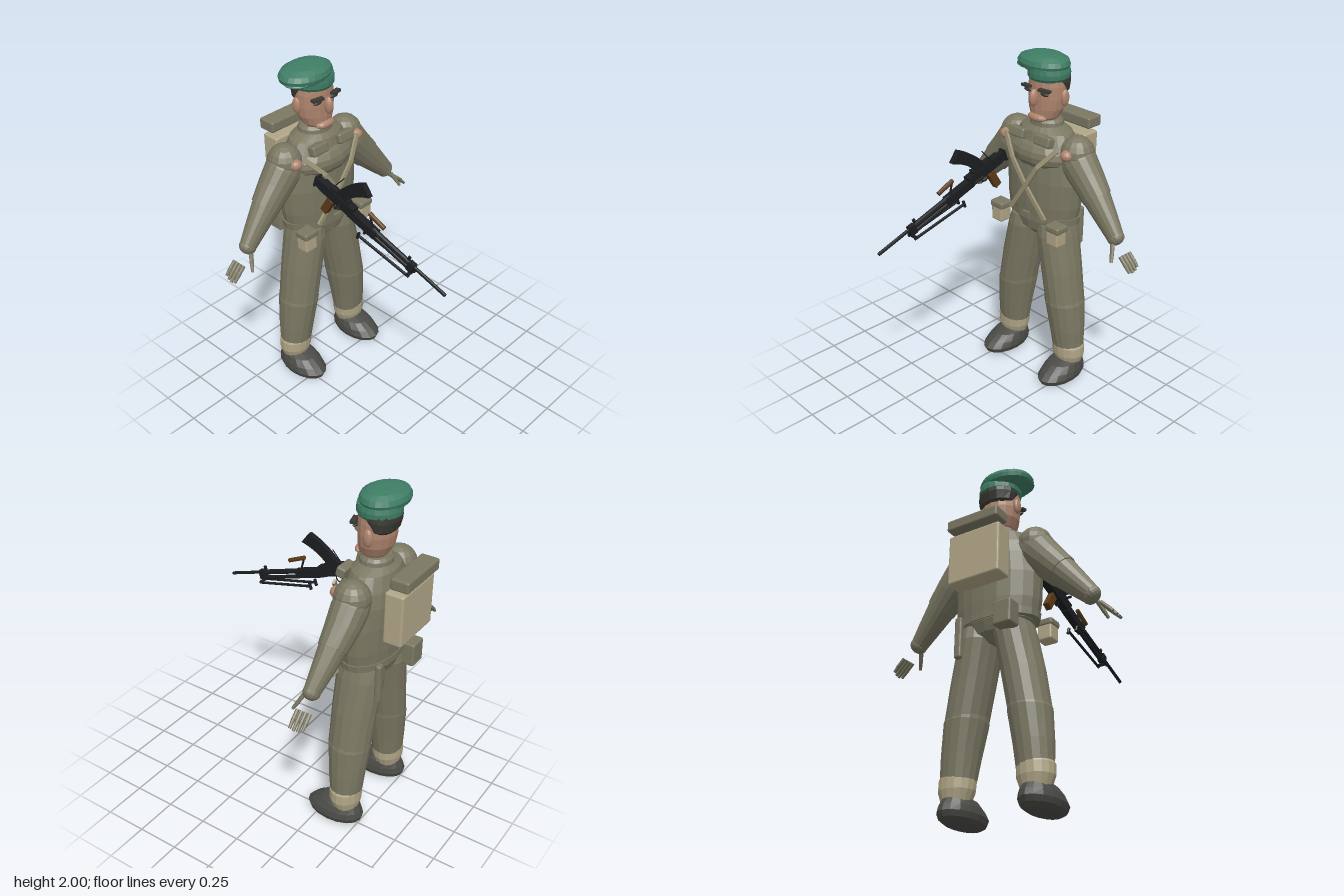
import * as THREE from 'three';
import { RoundedBoxGeometry } from 'three/addons/geometries/RoundedBoxGeometry.js';

const mat = (name, color) => {
  const m = new THREE.MeshStandardMaterial({ color, flatShading: true });
  m.name = name;
  return m;
};

export function createModel() {
  const cloth = mat('olive cloth', 0x7a7762);
  const canvas = mat('beige canvas', 0xb0a586);
  const strapMat = mat('webbing', 0x9f9678);
  const skin = mat('skin', 0xae846d);
  const green = mat('beret green', 0x3f7d65);
  const hairMat = mat('dark hair', 0x3a3933);
  const leather = mat('boot leather', 0x4a4a46);
  const steel = mat('gun steel', 0x1b1d20);
  const wood = mat('wood', 0x5c3a18);

  const root = new THREE.Group();
  const add = (name, geo, m, pos = [0, 0, 0], parent = root) => {
    const mesh = new THREE.Mesh(geo, m);
    mesh.name = name;
    mesh.position.set(...pos);
    parent.add(mesh);
    return mesh;
  };
  // Elliptical cross-sections from top to bottom: [y, rx, rz, x, z]
  const loft = (name, rings, m, parent = root, seg = 16) => {
    const g = new THREE.CylinderGeometry(1, 1, 1, seg, rings.length - 1);
    const p = g.attributes.position;
    for (let i = 0; i < p.count; i++) {
      const [y, rx, rz, x = 0, z = 0] = rings[Math.round((0.5 - p.getY(i)) * (rings.length - 1))];
      p.setXYZ(i, p.getX(i) * rx + x, y, p.getZ(i) * rz + z);
    }
    g.computeVertexNormals();
    return add(name, g, m, [0, 0, 0], parent);
  };
  const ball = (name, pos, r, m, parent = root) =>
    add(name, new THREE.SphereGeometry(1, 14, 10).scale(...r), m, pos, parent);
  const box = (name, pos, size, m, parent = root) =>
    add(name, new THREE.BoxGeometry(...size), m, pos, parent);
  const rbox = (name, pos, size, m, r = 0.012) =>
    add(name, new RoundedBoxGeometry(...size, 2, r), m, pos);
  // Round rod or flat strip between two points
  const rod = (name, a, b, r0, r1, m, parent = root) => {
    const A = new THREE.Vector3(...a), B = new THREE.Vector3(...b);
    const g = new THREE.CylinderGeometry(r1, r0, A.distanceTo(B), 8);
    const mesh = add(name, g, m, A.clone().lerp(B, 0.5).toArray(), parent);
    mesh.quaternion.setFromUnitVectors(new THREE.Vector3(0, 1, 0), B.sub(A).normalize());
    return mesh;
  };
  const strip = (name, a, b, w, t, m) => {
    const A = new THREE.Vector3(...a), B = new THREE.Vector3(...b);
    const mesh = box(name, A.clone().lerp(B, 0.5).toArray(), [w, t, A.distanceTo(B) + 0.01], m);
    mesh.up.set(0, 0, 1);
    mesh.lookAt(B);
  };

  // Jacket, collar and trouser seat
  loft('jacket', [
    [1.61, 0.1, 0.085, 0, -0.41], [1.58, 0.17, 0.115, 0, -0.41], [1.5, 0.22, 0.14, 0, -0.41],
    [1.42, 0.25, 0.15, 0, -0.41], [1.3, 0.265, 0.153, 0, -0.408], [1.15, 0.258, 0.15, 0, -0.407],
    [1.08, 0.245, 0.145, 0, -0.407]], cloth, root, 20);
  ball('chest', [0, 1.45, -0.36], [0.22, 0.105, 0.125], cloth);
  loft('collar', [[1.645, 0.085, 0.075, 0, -0.41], [1.63, 0.1, 0.088, 0, -0.41],
    [1.57, 0.11, 0.092, 0, -0.41]], cloth);
  loft('trouserSeat', [[1.09, 0.235, 0.143, 0, -0.41], [1.04, 0.215, 0.142, 0, -0.41],
    [0.98, 0.15, 0.125, 0, -0.405], [0.935, 0.06, 0.07, 0, -0.4]], cloth);

  // Belt, buckle and crossed straps
  loft('belt', [[1.085, 0.255, 0.148, 0, -0.41], [1.045, 0.25, 0.147, 0, -0.41]], cloth, root, 20);
  box('buckle', [0, 1.08, -0.255], [0.05, 0.038, 0.02], cloth);
  for (const s of [1, -1]) {
    const path = [[0.2, 1.525, -0.285], [0.1, 1.41, -0.238], [0, 1.26, -0.246], [-0.13, 1.085, -0.268]];
    for (let i = 0; i < 3; i++) {
      const at = ([x, y, z]) => [x * s, y, z + (s > 0 ? 0.004 : 0)];
      strip('crossStrap', at(path[i]), at(path[i + 1]), 0.026, 0.014, strapMat);
    }
  }

  for (const s of [1, -1]) {
    // Legs with gaiters and boots
    loft('thigh', [
      [1.03, 0.095, 0.13, s * 0.11, -0.408], [0.96, 0.112, 0.14, s * 0.115, -0.407],
      [0.75, 0.117, 0.13, s * 0.158, -0.402], [0.52, 0.114, 0.122, s * 0.2, -0.4]], cloth);
    loft('shin', [
      [0.57, 0.112, 0.12, s * 0.19, -0.4], [0.53, 0.118, 0.124, s * 0.198, -0.4],
      [0.35, 0.108, 0.105, s * 0.222, -0.403], [0.2, 0.098, 0.088, s * 0.235, -0.407]], cloth);
    loft('gaiter', [
      [0.27, 0.085, 0.08, s * 0.232, -0.405], [0.23, 0.103, 0.092, s * 0.236, -0.406],
      [0.17, 0.102, 0.09, s * 0.239, -0.408], [0.11, 0.08, 0.075, s * 0.24, -0.41]], canvas);
    loft('boot', [
      [0.145, 0.055, 0.07, s * 0.24, -0.4], [0.125, 0.085, 0.115, s * 0.24, -0.375],
      [0.09, 0.1, 0.155, s * 0.242, -0.355], [0.055, 0.106, 0.178, s * 0.243, -0.343],
      [0.025, 0.096, 0.165, s * 0.243, -0.343], [0.005, 0.07, 0.13, s * 0.243, -0.343]], leather);

    // Sleeves
    const arm = new THREE.Group();
    arm.name = 'arm';
    arm.position.set(s * 0.22, 1.47, -0.412);
    arm.rotation.z = s * 0.737;
    root.add(arm);
    loft('upperArm', [[0.06, 0.07, 0.07], [0.03, 0.1, 0.09], [-0.05, 0.112, 0.1], [-0.15, 0.1, 0.092],
      [-0.27, 0.09, 0.078, 0, 0.005]], cloth, arm);
    loft('foreArm', [[-0.22, 0.086, 0.076, 0, 0.004], [-0.27, 0.085, 0.074, 0, 0.006],
      [-0.4, 0.068, 0.058, 0, 0.014], [-0.51, 0.052, 0.044, 0, 0.022]], cloth, arm);
    ball('cuff', [0, -0.51, 0.022], [0.054, 0.042, 0.046], cloth, arm);
    ball('shoulder', [s * 0.235, 1.49, -0.412], [0.1, 0.1, 0.1], cloth);
    ball('shoulderPatch', [s * 0.238, 1.498, -0.32], [0.036, 0.032, 0.034], skin);

    // Gloved fingers and thumb
    for (let i = 0; i < 4; i++) {
      const z = -0.352 - i * 0.025, d = [0.004, 0, 0.003, 0.012][i];
      rod('finger', [s * 0.632, 1.015, z], [s * 0.672, 0.975, z], 0.011, 0.011, cloth);
      rod('fingerTip', [s * 0.668, 0.98, z], [s * (0.71 - d), 0.935 + d, z], 0.012, 0.008, cloth);
    }
    rod('thumb', [s * 0.575, 1.07, -0.35], [s * 0.596, 1.02, -0.325], 0.013, 0.011, cloth);
    rod('thumbTip', [s * 0.594, 1.025, -0.327], [s * 0.611, 0.985, -0.305], 0.012, 0.008, cloth);

    // Chest pouches and belt pouches
    rbox('chestPouch', [s * 0.1, 1.555, -0.285], [0.115, 0.06, 0.055], cloth).rotation.x = -0.25;
    rbox('beltPouch', [s * 0.226, 1.02, -0.272], [0.088, 0.12, 0.08], canvas);
    rbox('pouchFlap', [s * 0.226, 1.065, -0.272], [0.1, 0.042, 0.09], cloth);

    // Ears, eyes and brows
    ball('ear', [s * 0.12, 1.778, -0.422], [0.018, 0.048, 0.028], skin);
    ball('eye', [s * 0.062, 1.806, -0.318], [0.03, 0.011, 0.012], hairMat);
    box('eyebrow', [s * 0.068, 1.83, -0.31], [0.07, 0.014, 0.03], hairMat).rotation.set(0, s * 0.25, s * -0.06);
  }

  // Head
  loft('head', [
    [1.91, 0.105, 0.095, 0, -0.41], [1.84, 0.116, 0.1, 0, -0.41], [1.77, 0.117, 0.1, 0, -0.41],
    [1.71, 0.108, 0.094, 0, -0.405], [1.66, 0.085, 0.08, 0, -0.395], [1.625, 0.05, 0.055, 0, -0.39]], skin);
  loft('hair', [[1.91, 0.115, 0.1, 0, -0.43], [1.86, 0.119, 0.095, 0, -0.438], [1.81, 0.108, 0.07, 0, -0.45],
    [1.785, 0.08, 0.04, 0, -0.46]], hairMat);
  ball('nose', [0, 1.778, -0.298], [0.023, 0.05, 0.03], skin);
  ball('mouth', [0, 1.658, -0.328], [0.066, 0.026, 0.034], skin);

  // Beret
  loft('beretBand', [[1.935, 0.118, 0.115, 0, -0.415], [1.91, 0.124, 0.119, 0, -0.416],
    [1.885, 0.122, 0.118, 0, -0.416], [1.868, 0.11, 0.108, 0, -0.416]], green, root, 20);
  loft('beretCrown', [[2.0, 0.06, 0.045, -0.03, -0.42], [1.994, 0.11, 0.085, -0.035, -0.42],
    [1.975, 0.153, 0.115, -0.042, -0.42], [1.95, 0.166, 0.125, -0.045, -0.42],
    [1.928, 0.158, 0.12, -0.047, -0.42], [1.912, 0.12, 0.1, -0.045, -0.42]], green, root, 24);
  ball('beretFold', [-0.1, 1.925, -0.4], [0.108, 0.018, 0.085], green);

  // Backpack, rear pouch and scabbard
  rbox('packBody', [0, 1.385, -0.61], [0.325, 0.3, 0.11], canvas);
  rbox('packRoll', [0, 1.592, -0.635], [0.327, 0.066, 0.108], cloth);
  rbox('rearPouch', [-0.15, 1.02, -0.565], [0.11, 0.14, 0.09], cloth);
  rbox('scabbard', [0.16, 0.97, -0.545], [0.045, 0.24, 0.035], cloth);

  // Light machine gun, built along +z and tilted muzzle down
  const gun = new THREE.Group();
  gun.name = 'machineGun';
  gun.position.set(-0.167, 1.37, -0.1);
  gun.rotation.x = 0.33;
  root.add(gun);
  const bar = (name, x, y, z0, z1, r, m = steel) => rod(name, [x, y, z0], [x, y, z1], r, r, m, gun);
  const plate = (name, shape, w, m) => {
    const g = new THREE.ExtrudeGeometry(shape, { depth: w, bevelEnabled: false, curveSegments: 8 });
    return add(name, g.rotateY(-Math.PI / 2).translate(w / 2, 0, 0), m, [0, 0, 0], gun);
  };
  box('receiver', [0, 0, 0.03], [0.046, 0.062, 0.25], steel, gun);
  box('receiverTop', [0, 0.035, 0.04], [0.034, 0.02, 0.14], steel, gun);
  box('stock', [0, -0.005, -0.11], [0.036, 0.055, 0.06], steel, gun);
  box('buttPlate', [0, -0.005, -0.135], [0.044, 0.07, 0.012], steel, gun);
  box('handguard', [0, -0.012, 0.23], [0.042, 0.05, 0.2], steel, gun);
  bar('barrel', 0, 0, 0.15, 0.83, 0.01);
  bar('barrelSleeve', 0, 0, 0.3, 0.6, 0.016);
  bar('gasTube', 0, -0.034, 0.28, 0.6, 0.012);
  box('gasBlock', [0, -0.012, 0.59], [0.034, 0.055, 0.04], steel, gun);
  box('frontSight', [0, 0.025, 0.56], [0.01, 0.03, 0.016], steel, gun);

  // Curved top magazine
  const mag = new THREE.Shape();
  mag.moveTo(0.012, 0.035);
  mag.quadraticCurveTo(0.06, 0.15, 0.155, 0.228);
  mag.lineTo(0.22, 0.182);
  mag.quadraticCurveTo(0.125, 0.12, 0.085, 0.035);
  plate('magazine', mag, 0.03, steel);

  // Grips and trigger guard
  const grip = box('pistolGrip', [0, -0.1, -0.02], [0.034, 0.11, 0.045], wood, gun);
  grip.rotation.x = 0.22;
  const guard = add('triggerGuard', new THREE.TorusGeometry(0.025, 0.004, 5, 14), steel, [0, -0.05, 0.035], gun);
  guard.rotation.y = Math.PI / 2;
  rod('carryHandle', [0, 0.08, 0.245], [0, 0.068, 0.36], 0.013, 0.013, wood, gun);
  rod('handlePost', [0, 0, 0.3], [0, 0.075, 0.25], 0.006, 0.006, steel, gun);
  bar('cockingHandle', 0.02, -0.02, 0.06, 0.13, 0.008);
  rod('sideKnob', [-0.02, 0, 0.07], [-0.07, 0, 0.07], 0.006, 0.008, steel, gun);
  rod('rearSight', [0.02, 0.03, -0.03], [0.02, 0.13, 0.015], 0.003, 0.003, steel, gun);

  // Folded bipod
  rod('bipodPivot', [-0.032, -0.05, 0.6], [0.032, -0.05, 0.6], 0.01, 0.01, steel, gun);
  for (const s of [1, -1]) {
    rod('bipodLeg', [s * 0.027, -0.055, 0.61], [s * 0.027, -0.085, 0.25], 0.008, 0.008, steel, gun);
    rod('bipodFoot', [s * 0.027, -0.066, 0.24], [s * 0.027, -0.105, 0.24], 0.009, 0.009, steel, gun);
  }
  return root;
}
